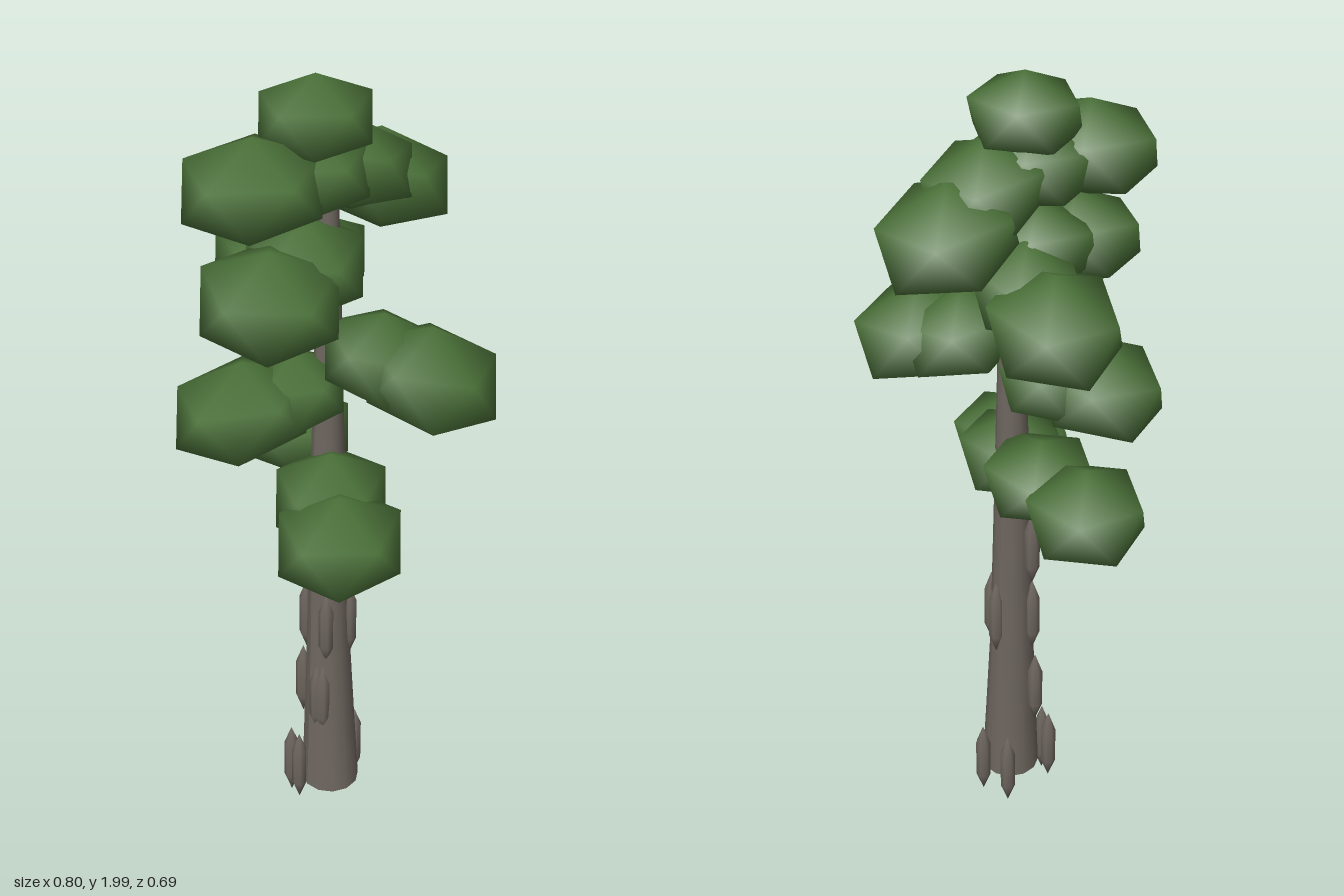
import * as THREE from 'three';
import { mergeVertices } from 'three/addons/utils/BufferGeometryUtils.js';

export function createModel() {
  const tree = new THREE.Group();
  tree.name = 'tree';
  const bark = new THREE.MeshStandardMaterial({ color: 0x6e665f });
  bark.name = 'bark';
  const leaf = new THREE.MeshStandardMaterial({ color: 0x4a7038 });
  leaf.name = 'foliage green';
  const axis = new THREE.Vector3(0.04, 0, -0.004);

  const add = (name, geometry, material, parent = tree) => {
    const mesh = new THREE.Mesh(geometry, material);
    mesh.name = name;
    parent.add(mesh);
    return mesh;
  };

  // Tapering trunk, its foot leaning slightly to +x
  const lean = (y) => 0.016 * Math.max(0, 1 - y / 0.7);
  const profile = [[0.073, 0.065], [0.065, 0.24], [0.054, 0.5], [0.046, 0.85],
    [0.036, 1.2], [0.03, 1.45], [0.018, 1.85]].map(([r, y]) => new THREE.Vector2(r, y));
  const trunk = new THREE.LatheGeometry(profile, 12);
  const p = trunk.attributes.position;
  for (let i = 0; i < p.count; i++) p.setX(i, p.getX(i) + lean(p.getY(i)));
  trunk.computeVertexNormals();
  add('trunk', trunk, bark).position.copy(axis);
  const base = add('trunkBase', new THREE.CircleGeometry(0.073, 12), bark);
  base.rotation.x = Math.PI / 2;
  base.position.set(axis.x + lean(0.065), 0.065, axis.z);

  // Pointed bark ridges: x, y, z
  const ridges = [
    [0.035, 0.12, 0.08], [0, 0.12, 0.08], [0.035, 0.12, -0.095], [-0.035, 0.12, -0.06],
    [-0.02, 0.35, 0.028], [0.065, 0.35, 0.045], [0.08, 0.35, 0.038],
    [0, 0.57, 0.03], [0.08, 0.57, 0.028], [0.08, 0.57, -0.042], [0.03, 0.57, -0.056],
    [-0.008, 0.78, 0.025],
  ];
  const ridgeShape = new THREE.SphereGeometry(1, 7, 3);
  for (const [x, y, z] of ridges) {
    const ridge = add('barkRidge', ridgeShape, bark);
    ridge.scale.set(0.022, 0.105, 0.022);
    ridge.position.set(x, y, z);
  }

  // Smooth-shaded icosahedron standing on a corner
  const ico = new THREE.IcosahedronGeometry(1, 0);
  ico.deleteAttribute('normal');
  ico.deleteAttribute('uv');
  ico.rotateZ(-Math.atan(2 / (1 + Math.sqrt(5))));
  const clumpShape = mergeVertices(ico);

  // Leaf clump; slopes raise it along +x and +z
  const clump = (name, parent, [x, y, z], r, h, [slopeX, slopeZ]) => {
    const g = clumpShape.clone();
    g.scale(r / 0.894, h, r / 0.894);
    g.applyMatrix4(new THREE.Matrix4().set(1, 0, 0, 0, slopeX, 1, slopeZ, 0, 0, 0, 1, 0, 0, 0, 0, 1));
    g.computeVertexNormals();
    add(name, g, leaf, parent).position.set(x, y, z);
  };

  // Boughs: outer centre, radius, half height, slopes, inner centre, radius, half height
  const boughs = [
    [[0.04, 1.785, 0.195], 0.156, 0.115, [0, -0.06], [0.03, 1.785, 0.045], 0.14, 0.108],
    [[-0.025, 1.685, -0.195], 0.157, 0.124, [0.03, 0.17], [0.01, 1.76, -0.085], 0.14, 0.112],
    [[-0.17, 1.485, -0.01], 0.153, 0.124, [0.18, 0], [-0.05, 1.53, -0.015], 0.13, 0.11],
    [[0.1, 1.54, 0.195], 0.157, 0.12, [-0.1, -0.05], [0.045, 1.57, 0.065], 0.135, 0.112],
    [[0.248, 1.31, -0.14], 0.153, 0.13, [-0.08, 0.12], [0.15, 1.335, -0.08], 0.14, 0.115],
    [[-0.03, 1.205, 0.19], 0.157, 0.124, [0.1, -0.12], [0.015, 1.235, 0.075], 0.12, 0.108],
    [[-0.26, 1.033, 0.025], 0.14, 0.117, [0.05, 0], [-0.1, 1.05, -0.005], 0.135, 0.098],
    [[0.232, 0.945, 0.1], 0.147, 0.125, [0, -0.05], [0.113, 0.985, 0.04], 0.134, 0.117],
  ];
  for (const [outer, r, h, slopes, inner, innerR, innerH] of boughs) {
    const bough = new THREE.Group();
    bough.name = 'bough';
    tree.add(bough);
    clump('outerFoliage', bough, outer, r, h, slopes);
    clump('innerFoliage', bough, inner, innerR, innerH, slopes);
    // Branch from the trunk into the foliage
    const start = new THREE.Vector3(axis.x, outer[1] + 0.01, axis.z);
    const path = new THREE.LineCurve3(start, new THREE.Vector3(...outer));
    add('branch', new THREE.TubeGeometry(path, 1, 0.014, 6), bark, bough);
  }

  // Crown
  clump('crownFoliage', tree, [0.03, 1.9, 0.025], 0.127, 0.1, [0, -0.03]);
  return tree;
}
